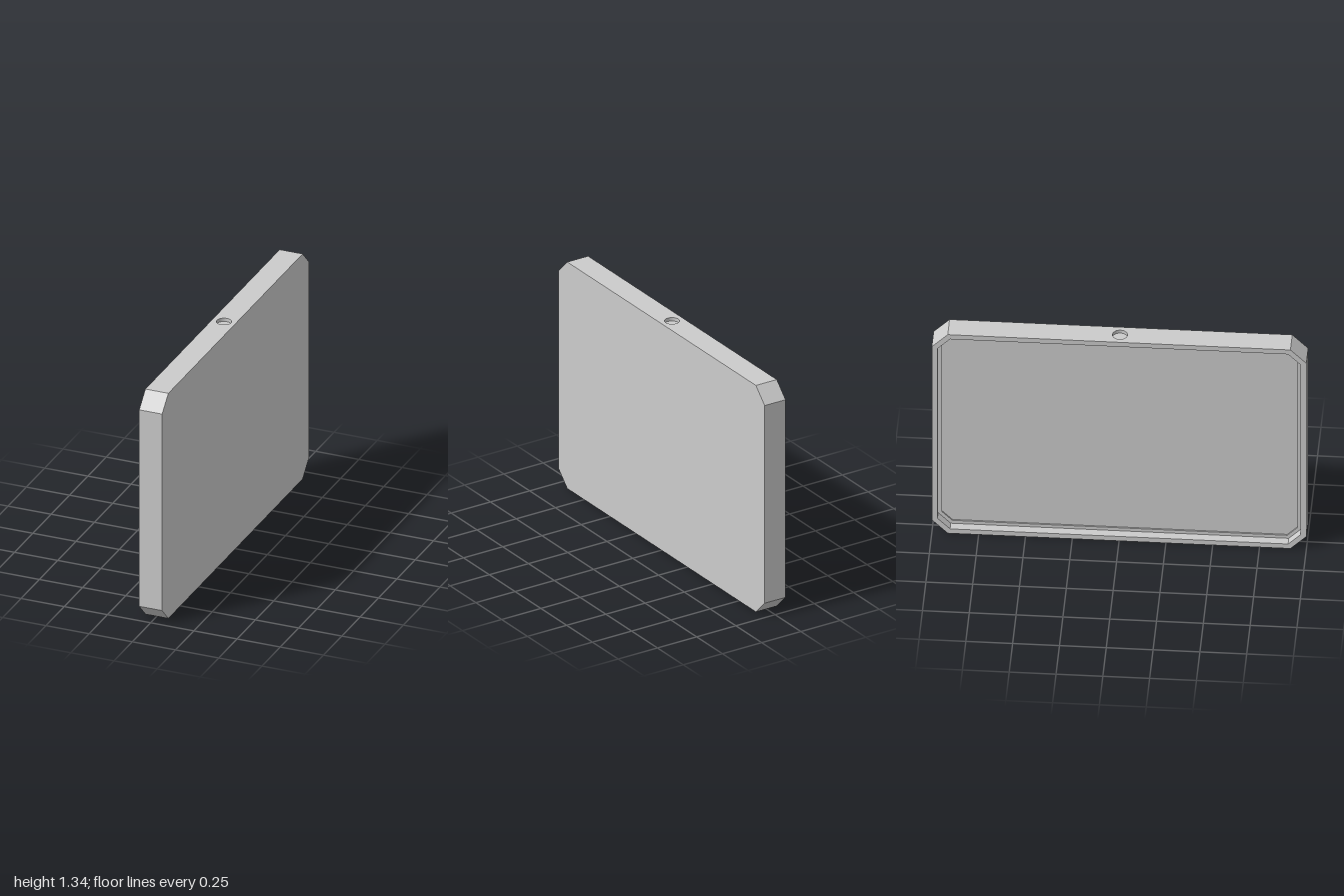
import * as THREE from 'three';

const H = 1.336, T = 0.133, CHAMFER = 0.085;
const NOTCH = 0.1, PIT = 0.02, PIT_R = 0.04;

// Chamfered rectangle moved inwards by a constant margin
function outline(inset, notched) {
  const c = CHAMFER - inset * (2 - Math.SQRT2);
  const w = 1 - inset, b = inset, t = H - inset;
  const pts = [[-w + c, b], [w - c, b], [w, b + c], [w, t - c], [w - c, t]];
  if (notched) pts.push([NOTCH, t], [NOTCH, t - PIT], [-NOTCH, t - PIT], [-NOTCH, t]);
  pts.push([-w + c, t], [-w, t - c], [-w, b + c]);
  return pts.map(([x, y]) => new THREE.Vector2(x, y));
}

export function createModel() {
  const group = new THREE.Group();
  const material = new THREE.MeshStandardMaterial({ color: 0xcccccc, flatShading: true });

  function add(name, geometry) {
    const mesh = new THREE.Mesh(geometry, material);
    mesh.name = name;
    group.add(mesh);
  }

  // Layer across the thickness, from x0 to x1, with an optional opening
  function layer(name, x0, x1, inset) {
    const shape = new THREE.Shape(outline(0, true));
    if (inset) shape.holes.push(new THREE.Path(outline(inset, false)));
    const geo = new THREE.ExtrudeGeometry(shape, { depth: x1 - x0, bevelEnabled: false });
    add(name, geo.rotateY(Math.PI / 2).translate(x0, 0, 0));
  }

  layer('closedPanel', -0.009, T / 2);
  layer('innerLedge', -0.017, -0.009, 0.05);
  layer('outerRim', -T / 2, -0.017, 0.03);

  // Block in the top edge with the round pit
  const top = new THREE.Shape([[-1, -1], [1, -1], [1, 1], [-1, 1]]
    .map(([x, y]) => new THREE.Vector2(x * T / 2, y * NOTCH)));
  top.holes.push(new THREE.Path().absarc(0, 0, PIT_R, 0, Math.PI * 2, true));
  const pit = new THREE.ExtrudeGeometry(top, { depth: PIT, bevelEnabled: false, curveSegments: 32 });
  add('topPit', pit.rotateX(-Math.PI / 2).translate(0, H - PIT, 0));

  return group;
}
